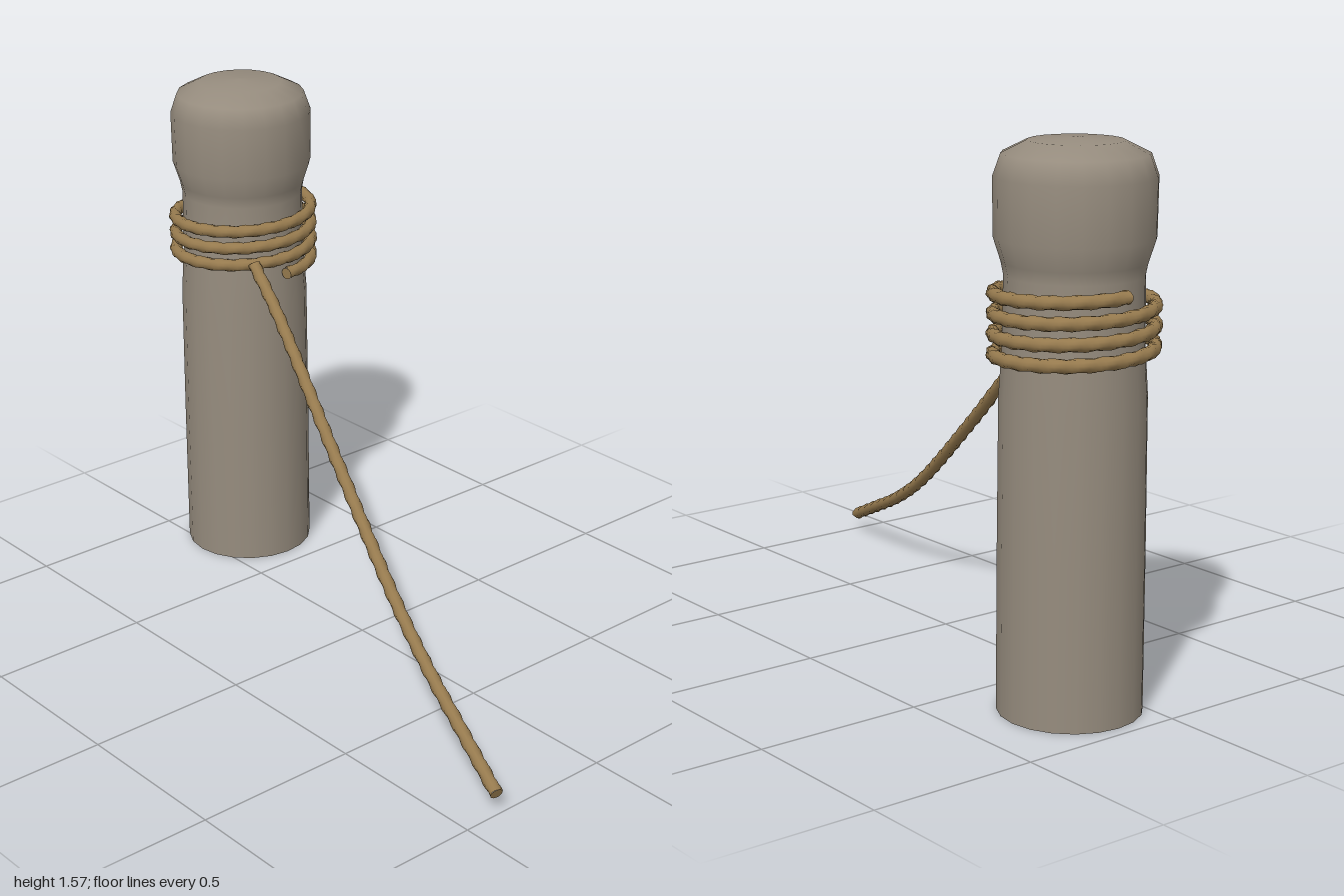
import * as THREE from 'three';
import { mergeVertices } from 'three/addons/utils/BufferGeometryUtils.js';

const CX = -0.763, CZ = -0.163;

// Twisted three-strand rope swept along a curve, closed with flat ends
function makeRope(name, curve, radius, material) {
  const length = curve.getLength();
  const steps = Math.round(length / 0.014), sides = 12;
  const tube = new THREE.TubeGeometry(curve, steps, radius, sides, false);
  const pos = tube.attributes.position;
  const centre = new THREE.Vector3(), p = new THREE.Vector3();
  for (let i = 0; i <= steps; i++) {
    curve.getPointAt(i / steps, centre);
    const twist = (i / steps) * length / 0.2 * Math.PI * 2;
    for (let j = 0; j <= sides; j++) {
      const k = i * (sides + 1) + j;
      const lobe = 1 + 0.12 * Math.cos(3 * (j / sides * Math.PI * 2) - 3 * twist);
      p.fromBufferAttribute(pos, k).sub(centre).multiplyScalar(lobe).add(centre);
      pos.setXYZ(k, p.x, p.y, p.z);
    }
  }
  tube.deleteAttribute('uv');
  tube.deleteAttribute('normal');
  const geometry = mergeVertices(tube, 1e-5);
  geometry.computeVertexNormals();

  const rope = new THREE.Group();
  rope.name = name;
  const strand = new THREE.Mesh(geometry, material);
  strand.name = name + 'Strand';
  rope.add(strand);
  for (const t of [0, 1]) {
    const cap = new THREE.Mesh(new THREE.CircleGeometry(radius, sides), material);
    cap.name = name + 'End';
    cap.position.copy(curve.getPointAt(t));
    const outward = curve.getTangentAt(t).multiplyScalar(t ? 1 : -1);
    cap.quaternion.setFromUnitVectors(new THREE.Vector3(0, 0, 1), outward);
    rope.add(cap);
  }
  return rope;
}

export function createModel() {
  const model = new THREE.Group();
  model.name = 'mooringPost';
  const wood = new THREE.MeshStandardMaterial({ color: 0x968c7e });
  wood.name = 'weathered wood';
  const hemp = new THREE.MeshStandardMaterial({ color: 0x967a4e });
  hemp.name = 'hemp rope';

  // Post with a narrowed neck and rounded head
  const profile = [
    [0.202, 0], [0.202, 0.45], [0.2, 0.88], [0.191, 1.02], [0.189, 1.21], [0.196, 1.245],
    [0.217, 1.31], [0.219, 1.47], [0.198, 1.53], [0.13, 1.564], [0, 1.572],
  ].map(([r, y]) => new THREE.Vector2(r, y));
  const post = new THREE.Mesh(new THREE.LatheGeometry(profile, 20), wood);
  post.name = 'post';
  post.position.set(CX, 0, CZ);
  model.add(post);

  // Flat underside, lined up with the lathe's facets
  const base = new THREE.Mesh(new THREE.CircleGeometry(0.202, 20), wood);
  base.name = 'postBase';
  base.rotation.x = Math.PI / 2;
  base.position.set(CX, 0, CZ);
  model.add(base);

  // Rope wound three and a half turns, climbing from the right side of the post
  const turns = 3.5, coilPoints = [];
  for (let i = 0; i <= turns * 16; i++) {
    const a = -i / 16 * Math.PI * 2;
    coilPoints.push(new THREE.Vector3(
      CX + 0.215 * Math.cos(a), 0.986 + 0.055 * i / 16, CZ + 0.215 * Math.sin(a)));
  }
  model.add(makeRope('ropeCoil', new THREE.CatmullRomCurve3(coilPoints), 0.0185, hemp));

  // Loose end sagging away to the ground
  const tail = new THREE.CatmullRomCurve3([
    [-0.56, 1.04, -0.045], [-0.4, 0.935, -0.005], [0, 0.625, 0.105],
    [0.4, 0.335, 0.217], [0.6, 0.222, 0.272], [0.8, 0.135, 0.328], [0.988, 0.057, 0.382],
  ].map(q => new THREE.Vector3(...q)));
  model.add(makeRope('ropeTail', tail, 0.0185, hemp));

  return model;
}
